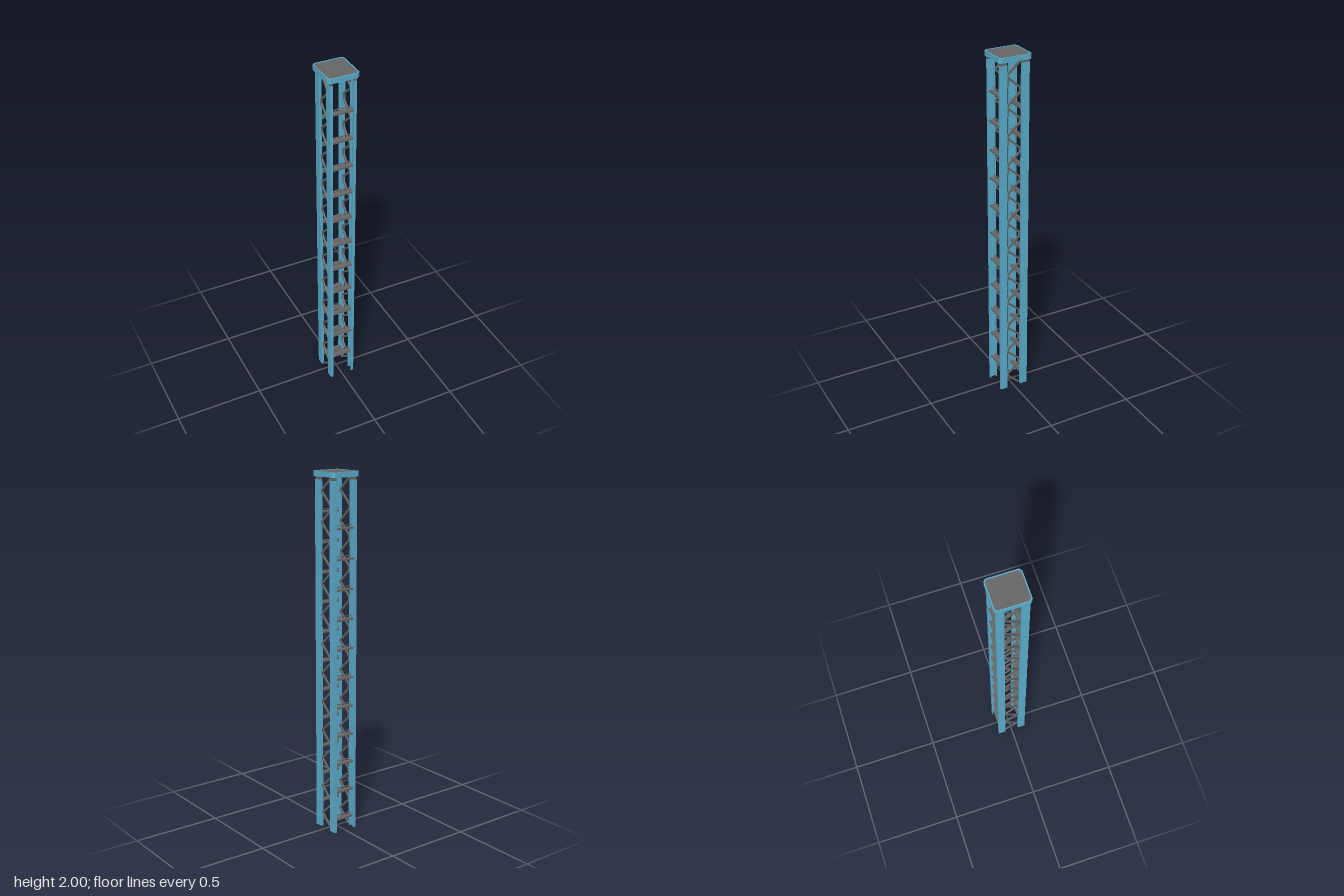
import * as THREE from 'three';

const blue = new THREE.MeshStandardMaterial({ color: 0x5badcc });
blue.name = 'blue paint';
const grey = new THREE.MeshStandardMaterial({ color: 0x666666 });
grey.name = 'grey steel';

function box(parent, name, mat, size, pos) {
  const m = new THREE.Mesh(new THREE.BoxGeometry(...size), mat);
  m.position.set(...pos);
  m.name = name;
  parent.add(m);
  return m;
}

// Rectangle with cut corners
function cutRect(hx, hz, c, Type = THREE.Shape) {
  return new Type([
    [hx, -hz + c], [hx, hz - c], [hx - c, hz], [-hx + c, hz],
    [-hx, hz - c], [-hx, -hz + c], [-hx + c, -hz], [hx - c, -hz],
  ].map(([x, y]) => new THREE.Vector2(x, y)));
}

// Horizontal plate of a shape, lying between two heights
function slab(parent, name, mat, shape, y0, y1) {
  const g = new THREE.ExtrudeGeometry(shape, { depth: y1 - y0, bevelEnabled: false });
  g.rotateX(-Math.PI / 2);
  const m = new THREE.Mesh(g, mat);
  m.position.y = y0;
  m.name = name;
  parent.add(m);
}

// Flat bar between two points in a plane of constant x
function diagonal(parent, x, a, b) {
  const dz = b[0] - a[0], dy = b[1] - a[1];
  const m = box(parent, 'lacingBar', grey, [0.008, Math.hypot(dz, dy), 0.011],
    [x, (a[1] + b[1]) / 2, (a[0] + b[0]) / 2]);
  m.rotation.x = Math.atan2(dz, dy);
}

// Channel-shaped leg made of stacked segments, open towards the inside
function leg(sx, sz) {
  const g = new THREE.Group();
  g.name = 'leg';
  const step = 0.159, count = 12, gap = 0.0015;
  for (let i = 0; i < count; i++) {
    const y0 = i * step;
    const y1 = i === count - 1 ? 1.955 : y0 + step - gap;
    const h = y1 - y0, y = (y0 + y1) / 2;
    box(g, 'legWeb', blue, [0.005, h, 0.043], [sx * 0.0715, y, sz * 0.0635]);
    for (const z of [0.0445, 0.0825])
      box(g, 'legFlange', blue, [0.011, h, 0.005], [sx * 0.0635, y, sz * z]);
  }
  box(g, 'legHead', grey, [0.014, 0.018, 0.038], [sx * 0.066, 1.964, sz * 0.0635]);
  return g;
}

export function createModel() {
  const root = new THREE.Group();
  root.name = 'tower';

  for (const sx of [-1, 1]) for (const sz of [-1, 1]) root.add(leg(sx, sz));

  // Zigzag lacing on the two sides
  const pitch = 0.165;
  for (const sx of [-1, 1]) {
    const side = new THREE.Group();
    side.name = 'sideLacing';
    const x = sx * 0.062;
    for (let i = 0; i < 12; i++) {
      const y = 0.08 + i * pitch;
      diagonal(side, x, [-0.036, y - 0.07], [0.042, y]);
      diagonal(side, x, [0.042, y], [-0.036, Math.min(y + 0.07, 1.965)]);
      if (i < 11) box(side, 'lacingJoint', grey, [0.008, 0.036, 0.008], [x, y + 0.0825, -0.035]);
    }
    root.add(side);
  }

  // Rungs, staggered between the front and the back
  for (const [sz, start] of [[1, 0.15], [-1, 0.07]]) {
    const rungs = new THREE.Group();
    rungs.name = sz > 0 ? 'frontRungs' : 'backRungs';
    for (let i = 0; i < 11; i++) {
      const y = start + i * 0.1635;
      box(rungs, 'rung', grey, [0.126, 0.009, 0.03], [0, y, sz * 0.062]);
      box(rungs, 'rungLip', grey, [0.126, 0.004, 0.005], [0, y + 0.014, sz * 0.05]);
    }
    root.add(rungs);
  }

  // Cap: blue rim around a grey plate
  const rim = cutRect(0.087, 0.094, 0.013);
  rim.holes.push(cutRect(0.081, 0.088, 0.011, THREE.Path));
  slab(root, 'capRim', blue, rim, 1.972, 2);
  slab(root, 'capPlate', grey, cutRect(0.081, 0.088, 0.011), 1.974, 1.998);

  return root;
}
